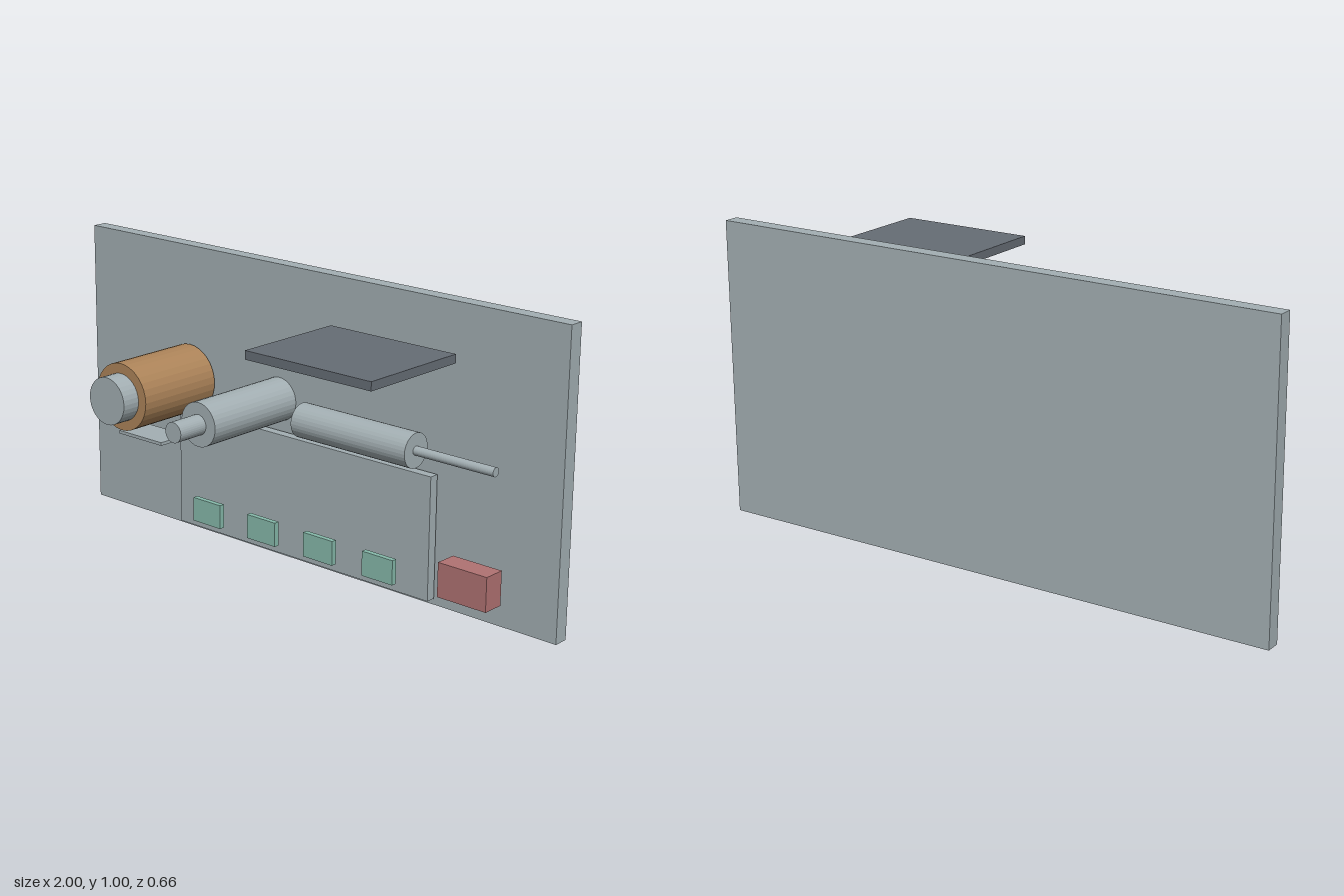
import * as THREE from 'three';

const mat = (name, color, flatShading = false) => {
  const m = new THREE.MeshStandardMaterial({ color });
  m.name = name;
  m.flatShading = flatShading;
  return m;
};

export function createModel() {
  const steel = mat('steel grey', 0xa3afb3, true);
  const copper = mat('copper brown', 0xad8459, true);
  const dark = mat('dark grey', 0x666d75);
  const glass = mat('screen blue', 0x7894a8);
  const green = mat('button green', 0x86b9aa);
  const red = mat('switch red', 0xb07272);

  const model = new THREE.Group();
  model.name = 'equipmentPanel';

  const add = (name, geometry, material, x, y, z) => {
    const mesh = new THREE.Mesh(geometry, material);
    mesh.name = name;
    mesh.position.set(x, y, z);
    model.add(mesh);
    return mesh;
  };

  // Box from its extents on each axis
  const box = (name, material, [x0, x1], [y0, y1], [z0, z1]) =>
    add(name, new THREE.BoxGeometry(x1 - x0, y1 - y0, z1 - z0), material,
      (x0 + x1) / 2, (y0 + y1) / 2, (z0 + z1) / 2);

  // Cylinders lying along z or x
  const rodZ = (name, material, r, x, y, z0, z1) =>
    add(name, new THREE.CylinderGeometry(r, r, z1 - z0, 32).rotateX(Math.PI / 2),
      material, x, y, (z0 + z1) / 2);
  const rodX = (name, material, r, x0, x1, y, z) =>
    add(name, new THREE.CylinderGeometry(r, r, x1 - x0, 32).rotateZ(-Math.PI / 2),
      material, (x0 + x1) / 2, y, z);

  // Wall panel and the smaller board in front of it
  box('backPanel', steel, [-1, 1], [0, 1], [-0.328, -0.277]);
  box('controlBoard', steel, [-0.545, 0.54], [0.025, 0.44], [-0.268, -0.235]);

  // Coil with its core and the small shelf below
  rodZ('coil', copper, 0.115, -0.525, 0.545, -0.265, 0.061);
  rodZ('coilCore', steel, 0.081, -0.525, 0.545, -0.2, 0.127);
  box('coilShelf', steel, [-0.625, -0.425], [0.377, 0.388], [-0.139, -0.022]);

  // Forward-facing cylinder with its shaft
  rodZ('forwardCylinder', steel, 0.074, -0.128, 0.545, -0.277, 0.106);
  rodZ('forwardShaft', steel, 0.034, -0.128, 0.545, 0.106, 0.219);

  // Sideways cylinder with its piston rod
  rodX('sideCylinder', steel, 0.057, 0.08, 0.54, 0.545, -0.157);
  rodX('pistonRod', steel, 0.015, 0.54, 0.84, 0.545, -0.157);

  // Overhead display, its screen facing down
  box('displayHousing', dark, [0.28, 0.755], [0.884, 0.912], [-0.056, 0.328]);
  box('displayScreen', glass, [0.315, 0.723], [0.872, 0.884], [-0.013, 0.287]);

  // Row of buttons and the switch block
  for (let i = 0; i < 4; i++) {
    const x = -0.377 + i * 0.2495;
    box(`button${i + 1}`, green, [x - 0.0625, x + 0.0625], [0.064, 0.148], [-0.207, -0.188]);
  }
  box('switchBlock', red, [0.635, 0.82], [0.09, 0.205], [-0.235, -0.159]);

  return model;
}
